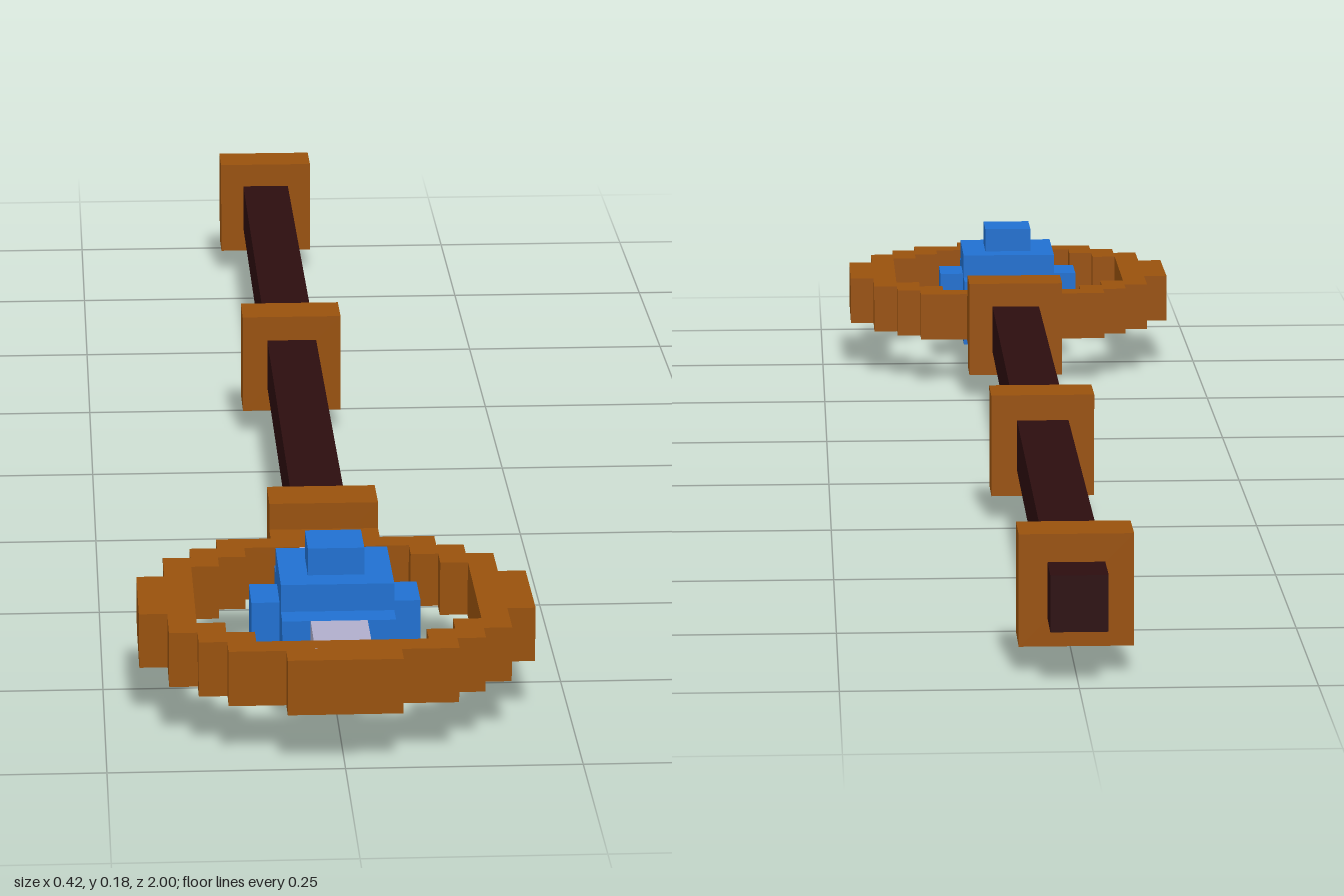
import * as THREE from 'three';

const U = 2 / 66;        // one block
const MID = 3 * U;       // height of the staff axis
const HEAD = 26 * U;     // z of the head centre

const material = (name, color) => {
  const m = new THREE.MeshStandardMaterial({ color });
  m.name = name;
  return m;
};

// Mirrors a stepped quarter outline (x, z in blocks) into a closed loop.
function steppedLoop(quarter) {
  const back = [...quarter].reverse();
  return [
    ...quarter,
    ...back.map(([x, z]) => [-x, z]),
    ...quarter.map(([x, z]) => [-x, -z]),
    ...back.map(([x, z]) => [x, -z]),
  ].map(([x, z]) => new THREE.Vector2(x * U, z * U));
}

// Lays an outline flat and gives it a height, from y0 to y1 in blocks.
function slab(outline, y0, y1, hole) {
  const shape = new THREE.Shape(steppedLoop(outline));
  if (hole) shape.holes.push(new THREE.Path(steppedLoop(hole)));
  const geo = new THREE.ExtrudeGeometry(shape, { depth: (y1 - y0) * U, bevelEnabled: false });
  geo.rotateX(-Math.PI / 2);
  geo.translate(0, y0 * U, HEAD);
  return geo;
}

export function createModel() {
  const group = new THREE.Group();
  const bronze = material('bronze', 0x98510c);
  const wood = material('dark wood', 0x2c0d0f);
  const blue = material('blue crystal', 0x2070d0);
  const silver = material('pale silver', 0xb0aecb);

  const add = (name, geo, mat) => {
    const mesh = new THREE.Mesh(geo, mat);
    mesh.name = name;
    group.add(mesh);
  };
  // Square bar along z, sizes in blocks
  const bar = (name, width, z0, z1, mat) => {
    const geo = new THREE.BoxGeometry(width * U, width * U, (z1 - z0) * U);
    geo.translate(0, MID, (z0 + z1) / 2 * U);
    add(name, geo, mat);
  };

  // Shaft and its bands
  bar('shaft', 2, -33, 17, wood);
  bar('endBand', 4, -31, -29, bronze);
  bar('middleBand', 4, -7, -5, bronze);
  bar('headCollar', 4, 17, 19, bronze);

  // Stepped ring around the crystal
  const outer = [[7, 2], [6, 2], [6, 4], [5, 4], [5, 5], [4, 5], [4, 6], [2, 6], [2, 7]];
  const inner = [[5, 3], [4, 3], [4, 4], [3, 4], [3, 5]];
  add('headRing', slab(outer, 2, 4, inner), bronze);

  // Struts holding the crystal
  bar('backStrut', 2, 20, 23, silver);
  bar('frontStrut', 2, 29, 32, silver);

  // Crystal: wide middle layer with smaller layers above and below
  add('crystalMiddle', slab([[3, 1], [2, 1], [2, 3]], 2, 4), blue);
  for (const [name, half, y] of [['Lower', 2, 1], ['Upper', 2, 4], ['Bottom', 1, 0], ['Top', 1, 5]]) {
    add('crystal' + name, slab([[half, half]], y, y + 1), blue);
  }
  return group;
}
